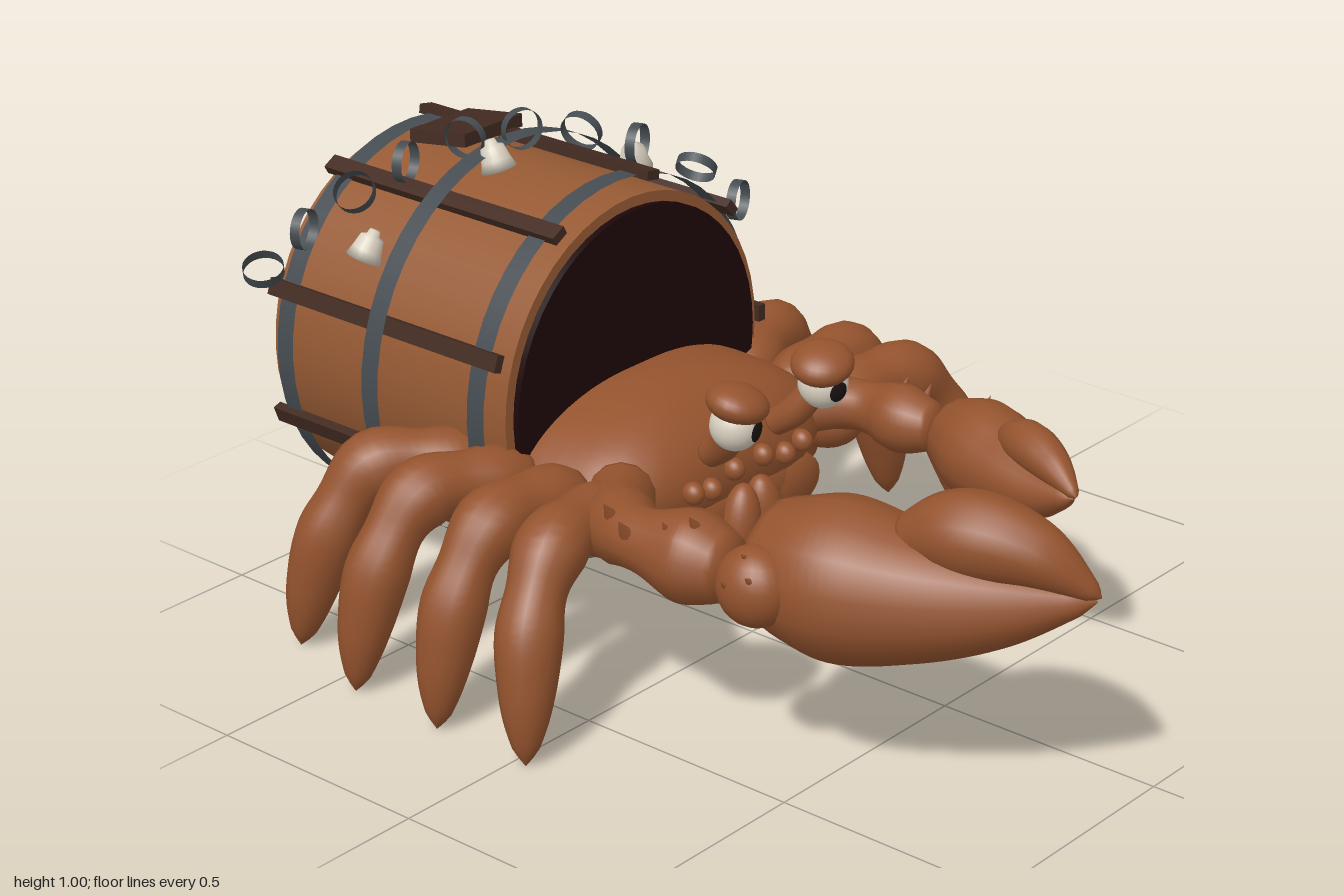
import * as THREE from 'three';
import { mergeVertices } from 'three/addons/utils/BufferGeometryUtils.js';

const V = (a) => new THREE.Vector3(...a);
const UP = new THREE.Vector3(0, 1, 0);

export function createModel() {
  const root = new THREE.Group();
  root.name = 'barrelCrab';
  const mat = (name, color, side = THREE.FrontSide) => {
    const m = new THREE.MeshStandardMaterial({ color, side });
    m.name = name;
    return m;
  };
  const shell = mat('crabBrown', 0x94532e);
  const wood = mat('barrelBrown', 0x965a34);
  const inside = mat('darkInterior', 0x1d0708);
  const iron = mat('ironGrey', 0x454c51, THREE.DoubleSide);
  const plank = mat('darkPlank', 0x422a21);
  const ivory = mat('ivory', 0xd8d0c0, THREE.DoubleSide);
  const black = mat('pupilBlack', 0x1a1212);

  const add = (name, geo, material, pos = [0, 0, 0], parent = root) => {
    const m = new THREE.Mesh(geo, material);
    m.name = name;
    m.position.set(...pos);
    parent.add(m);
    return m;
  };
  const blob = (name, pos, size, material = shell, parent = root) => {
    const m = add(name, new THREE.SphereGeometry(1, 24, 16), material, pos, parent);
    m.scale.set(...size);
    return m;
  };
  // Tapered limb: a tube whose rings are scaled to evenly spaced radii
  const limb = (name, pts, radii) => {
    const n = 40, sides = 14;
    const curve = new THREE.CatmullRomCurve3(pts.map(V));
    const rc = new THREE.CatmullRomCurve3(radii.map((r, i) => new THREE.Vector3(i, r, 0)));
    let g = new THREE.TubeGeometry(curve, n, 1, sides);
    const p = g.attributes.position, v = new THREE.Vector3();
    for (let i = 0; i <= n; i++) {
      const c = curve.getPointAt(i / n);
      let r = Math.max(rc.getPoint(i / n).y, 0.003);
      if (i === 0 || i === n) r = 0.001; // closed, rounded ends
      else if (i === 1 || i === n - 1) r *= 0.75;
      for (let j = 0; j <= sides; j++) {
        const k = i * (sides + 1) + j;
        v.fromBufferAttribute(p, k).sub(c).multiplyScalar(r).add(c);
        p.setXYZ(k, v.x, v.y, v.z);
      }
    }
    g.deleteAttribute('uv');
    g.deleteAttribute('normal');
    g = mergeVertices(g, 1e-5);
    g.computeVertexNormals();
    return add(name, g, shell);
  };
  const spike = (pos, dir, h = 0.045) => {
    const m = add('spike', new THREE.ConeGeometry(h * 0.32, h, 8), shell, pos);
    m.quaternion.setFromUnitVectors(UP, V(dir).normalize());
  };

  // Barrel with a dark mouth
  const barrel = new THREE.Group();
  barrel.name = 'barrel';
  barrel.position.set(0, 0.498, -0.645);
  root.add(barrel);
  const drum = (name, r, len, z, material, open) =>
    add(name, new THREE.CylinderGeometry(r, r, len, 48, 1, open).rotateX(Math.PI / 2), material, [0, 0, z], barrel);
  drum('barrelBody', 0.385, 0.663, -0.0035, wood, false);
  drum('barrelMouth', 0.362, 0.02, 0.332, inside, false);
  drum('frontBand', 0.412, 0.046, 0.27, iron, true);
  drum('middleBand', 0.44, 0.046, 0, iron, true);
  drum('backBand', 0.412, 0.046, -0.277, iron, true);
  for (let i = 0; i < 9; i++) {
    const a = (i * 40 * Math.PI) / 180;
    const s = add('barrelSlat', new THREE.BoxGeometry(0.02, 0.036, 0.65), plank,
      [0.416 * Math.cos(a), 0.416 * Math.sin(a), -0.003], barrel);
    s.rotation.z = a;
  }
  add('topBoard', new THREE.BoxGeometry(0.22, 0.028, 0.135), plank, [-0.005, 0.928, -0.775])
    .rotation.set(-0.08, 0.2, -0.08);

  // Chain draped over the barrel: links alternate edge-on and face-on
  const links = [[-0.425, 0.69, -0.96, 20], [-0.37, 0.78, -0.89], [-0.29, 0.855, -0.82, 45], [-0.2, 0.91, -0.76],
    [-0.095, 0.95, -0.69, 95], [0.01, 0.955, -0.63], [0.11, 0.94, -0.555, 108], [0.21, 0.9, -0.49],
    [0.305, 0.84, -0.41, 132], [0.375, 0.76, -0.355]];
  links.forEach(([x, y, z, deg], i) => {
    const a = (deg || 0) * Math.PI / 180;
    const axis = deg ? [-Math.sin(a), Math.cos(a), 0.28] : [i === 5 ? -0.35 : 0.35, 0, 1];
    const m = add('chainLink', new THREE.CylinderGeometry(0.043, 0.043, 0.022, 24, 1, true), iron, [x, y, z]);
    m.quaternion.setFromUnitVectors(UP, V(axis).normalize());
  });
  // Little bells
  const bellProfile = [[0, -0.03], [0.038, -0.03], [0.031, -0.008], [0.025, 0.018], [0.014, 0.023], [0.011, 0.034], [0, 0.035]];
  [[-0.328, 0.768, -0.745, [0.45, 1, 0.2]], [-0.078, 0.922, -0.625, [-0.1, 1, -0.3]], [0.21, 0.87, -0.5, [-0.35, 1, 0.2]]]
    .forEach(([x, y, z, d]) => {
      const g = new THREE.LatheGeometry(bellProfile.map(([r, h]) => new THREE.Vector2(r, h)), 20);
      add('bell', g, ivory, [x, y, z]).quaternion.setFromUnitVectors(UP, V(d).normalize());
    });

  // Body: sphere pushed towards a rounded box in plan, narrower at the face
  const bodyGeo = new THREE.SphereGeometry(1, 40, 28);
  const bp = bodyGeo.attributes.position;
  for (let i = 0; i < bp.count; i++) {
    const x = bp.getX(i), y = bp.getY(i), z = bp.getZ(i);
    const f = Math.pow(Math.abs(x) ** 3.5 + Math.abs(z) ** 3.5, 1 / 3.5);
    const k = f > 1e-6 ? Math.hypot(x, z) / f : 1;
    bp.setXYZ(i, x * k * (1 - 0.06 * z) * (y < 0 ? 1 + 0.15 * y : 1), y, z * k);
  }
  bodyGeo.computeVertexNormals();
  add('carapace', bodyGeo, shell, [0, 0.36, -0.235]).scale.set(0.36, 0.17, 0.22);
  add('underBody', bodyGeo, shell, [0, 0.28, -0.23]).scale.set(0.28, 0.135, 0.22);

  // Face, eyes and legs, mirrored
  for (const s of [1, -1]) {
    blob('mandible', [s * 0.038, 0.26, 0.0], [0.043, 0.09, 0.042]).rotation.z = s * 0.15;
    blob('cheek', [s * 0.13, 0.26, -0.06], [0.15, 0.075, 0.05]);
    blob('shoulder', [s * 0.345, 0.35, -0.1], [0.075, 0.07, 0.1]);
    [[0.045, 0.385], [0.115, 0.365], [0.17, 0.375]].forEach(([x, y]) =>
      blob('browKnob', [s * x, y, -0.01], [0.021, 0.024, 0.025]));
    limb('eyeStalk', [[s * 0.1, 0.43, -0.03], [s * 0.11, 0.47, 0.02], [s * 0.13, 0.53, 0.06]], [0.028, 0.032, 0.03]);

    const eye = new THREE.Group();
    eye.name = 'eye';
    eye.position.set(s * 0.137, 0.537, 0.072);
    root.add(eye);
    blob('eyeball', [0, 0, 0], [0.052, 0.052, 0.052], ivory, eye);
    const pupil = add('pupil', new THREE.SphereGeometry(0.0535, 20, 6, 0, Math.PI * 2, 0, 0.42).rotateX(Math.PI / 2), black, [0, 0, 0], eye);
    pupil.rotation.set(0.08, -s * 0.2, 0);
    const lid = blob('eyelid', [-s * 0.005, 0.046, 0.002], [0.067, 0.038, 0.064], shell, eye);
    lid.rotation.set(0.18, 0, s * 0.2);

    // Jointed legs fan out from front to back
    [[-0.08, -0.04, 0.03, 1], [-0.19, -0.2, -0.205, 1.01], [-0.31, -0.4, -0.44, 0.99], [-0.41, -0.57, -0.67, 0.81]]
      .forEach(([zr, zk, zt, w]) => {
        const x = (d) => s * (0.33 + (d - 0.33) * w);
        limb('leg', [[x(0.31), 0.36, zr], [x(0.44), 0.395, (zr + zk) / 2], [x(0.55), 0.39, zk],
          [x(0.64), 0.29, zk + (zt - zk) * 0.4], [x(0.685), 0.15, zk + (zt - zk) * 0.75], [x(0.712), 0.003, zt]],
        [0.056, 0.074, 0.064, 0.074, 0.06, 0.067, 0.06, 0.044, 0.014]);
      });
  }

  // Large claw on the model's right
  limb('largeArm', [[-0.26, 0.38, -0.12], [-0.4, 0.4, 0.0], [-0.46, 0.42, 0.1], [-0.44, 0.41, 0.22], [-0.425, 0.4, 0.325]],
    [0.07, 0.07, 0.077, 0.064, 0.094, 0.06]);
  limb('largePalm', [[-0.37, 0.43, 0.335], [-0.36, 0.425, 0.47], [-0.32, 0.425, 0.64], [-0.26, 0.44, 0.82], [-0.2, 0.47, 0.99]],
    [0.11, 0.16, 0.132, 0.085, 0.012]);
  limb('largeFinger', [[-0.315, 0.52, 0.62], [-0.285, 0.56, 0.73], [-0.245, 0.55, 0.87], [-0.2, 0.48, 0.998]],
    [0.045, 0.085, 0.065, 0.012]);
  blob('largeClawKnuckle', [-0.49, 0.43, 0.42], [0.07, 0.08, 0.08]);
  [[-0.5, 0.48, 0.06], [-0.525, 0.47, 0.12], [-0.49, 0.48, 0.2], [-0.47, 0.5, 0.25]]
    .forEach((p) => spike(p, [-0.7, 1, 0.1]));
  [[-0.555, 0.45, 0.4], [-0.545, 0.47, 0.45], [-0.52, 0.5, 0.42]].forEach((p) => spike(p, [-0.8, 0.7, 0.1], 0.035));

  // Small claw on the model's left
  limb('smallArm', [[0.26, 0.38, -0.14], [0.33, 0.4, -0.03], [0.35, 0.4, 0.06], [0.345, 0.4, 0.14], [0.355, 0.4, 0.21]],
    [0.06, 0.06, 0.054, 0.072, 0.045]);
  limb('smallPalm', [[0.365, 0.4, 0.225], [0.335, 0.4, 0.32], [0.29, 0.395, 0.43], [0.245, 0.4, 0.54], [0.2, 0.43, 0.65]],
    [0.07, 0.104, 0.088, 0.056, 0.01]);
  limb('smallFinger', [[0.31, 0.45, 0.4], [0.275, 0.475, 0.48], [0.24, 0.465, 0.57], [0.2, 0.435, 0.658]],
    [0.028, 0.048, 0.038, 0.009]);
  blob('smallClawKnuckle', [0.405, 0.385, 0.265], [0.042, 0.07, 0.048]);
  [[0.4, 0.45, 0.08], [0.4, 0.45, 0.14], [0.43, 0.45, 0.27]].forEach((p) => spike(p, [0.6, 1, 0.1], 0.035));

  return root;
}
